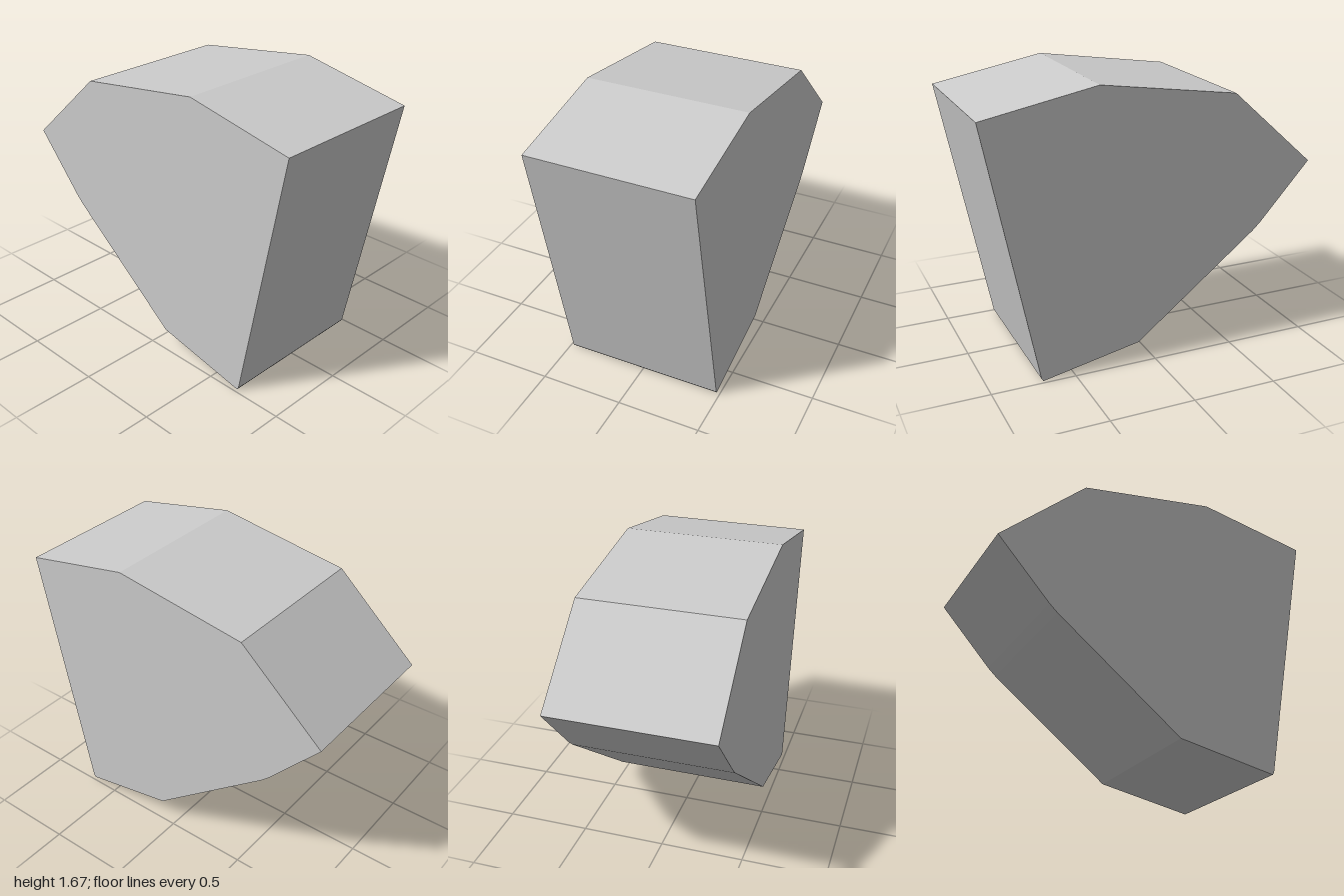
import * as THREE from 'three';

export function createModel() {
  const group = new THREE.Group();
  group.name = 'facetedBlock';

  // Outline of the wedge, counter-clockwise from the lower corner
  const outline = [
    [0.69, 0], [0.7, 0.015], [1, 1.54], [0.33, 1.67], [-0.49, 1.55],
    [-1, 1.095], [-0.69, 0.75], [-0.64, 0.703], [0.1, 0.12],
  ].map(([x, y]) => new THREE.Vector2(x, y));

  // Straight extrusion, centred front to back
  const depth = 0.96;
  const geometry = new THREE.ExtrudeGeometry(new THREE.Shape(outline), { depth, bevelEnabled: false });
  geometry.translate(0, 0, -depth / 2);

  const block = new THREE.Mesh(
    geometry,
    new THREE.MeshStandardMaterial({ color: 0xcccccc, flatShading: true }),
  );
  block.name = 'wedgeBlock';
  group.add(block);
  return group;
}
